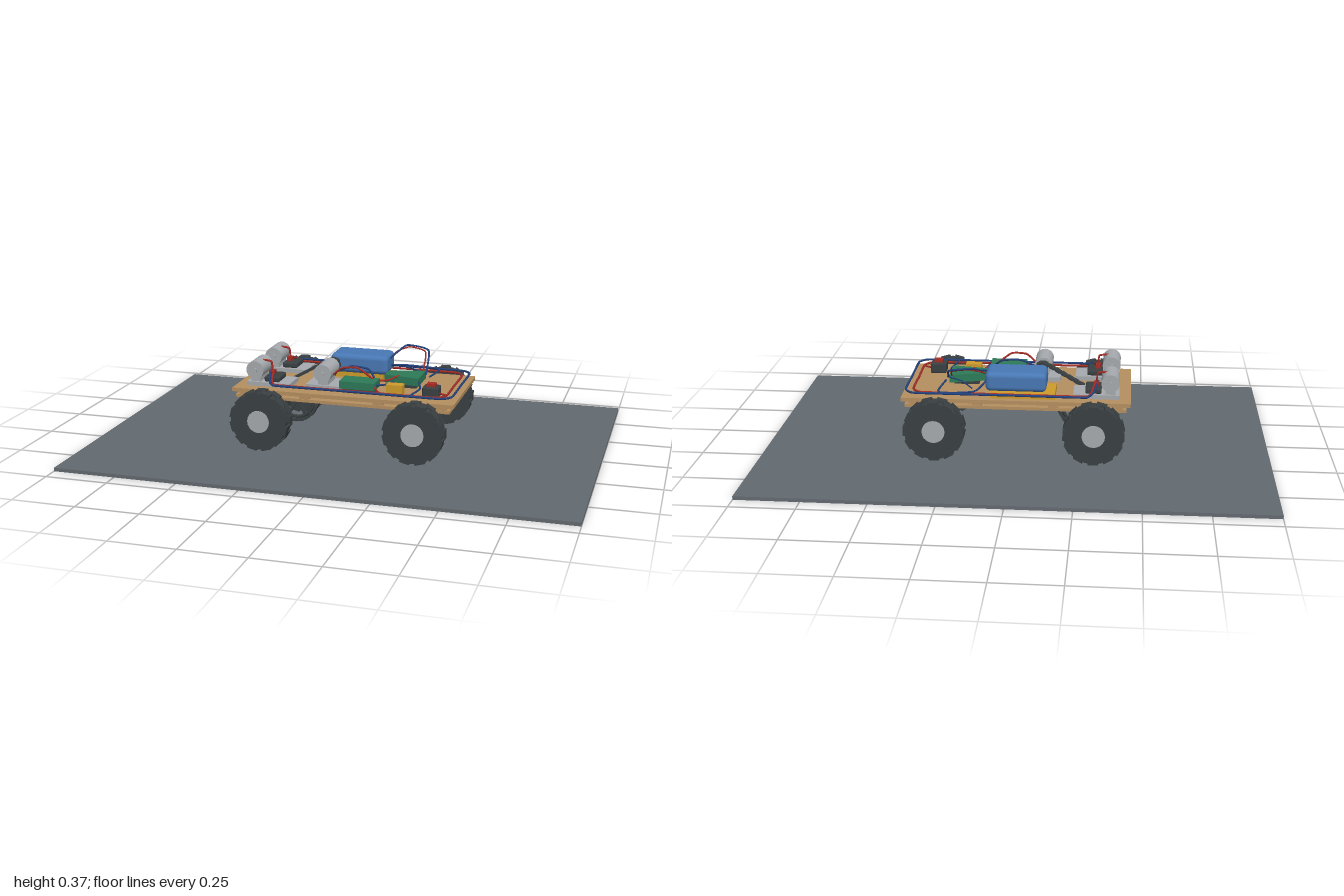
import * as THREE from 'three';
import { RoundedBoxGeometry } from 'three/addons/geometries/RoundedBoxGeometry.js';

const mat = (name, color, flatShading = false) => {
  const m = new THREE.MeshStandardMaterial({ color, flatShading });
  m.name = name;
  return m;
};

export function createModel() {
  const root = new THREE.Group();
  root.name = 'electricRover';
  const M = {
    ground: mat('slate', 0x636a70),
    wood: mat('plywood', 0xb58f60),
    dark: mat('darkRubber', 0x3a4042, true),
    silver: mat('silver', 0xa6aaae),
    blue: mat('batteryBlue', 0x4878b4),
    green: mat('boardGreen', 0x2d7a58),
    red: mat('red', 0xa62c26),
    yellow: mat('amber', 0xcf9c2c),
    navy: mat('wireBlue', 0x24427e),
  };

  const add = (name, geo, m, x = 0, y = 0, z = 0, parent = root) => {
    const mesh = new THREE.Mesh(geo, m);
    mesh.name = name;
    mesh.position.set(x, y, z);
    parent.add(mesh);
    return mesh;
  };
  // Box given by its limits on each axis
  const box = (name, m, x0, x1, y0, y1, z0, z1, parent = root, r = 0) => {
    const s = [x1 - x0, y1 - y0, z1 - z0];
    const g = r ? new RoundedBoxGeometry(...s, 3, r) : new THREE.BoxGeometry(...s);
    return add(name, g, m, (x0 + x1) / 2, (y0 + y1) / 2, (z0 + z1) / 2, parent);
  };
  // Cylinder lying along z
  const rod = (name, m, x, y, z, r, len, sides = 24, parent = root) =>
    add(name, new THREE.CylinderGeometry(r, r, len, sides).rotateX(Math.PI / 2), m, x, y, z, parent);
  const wire = (name, m, pts, r = 0.004, tension = 0.3) => {
    const c = new THREE.CatmullRomCurve3(pts.map(p => new THREE.Vector3(...p)), false, 'catmullrom', tension);
    return add(name, new THREE.TubeGeometry(c, pts.length * 8, r, 6), m);
  };

  // Ground slab
  box('groundSlab', M.ground, -1, 1, 0, 0.014, -0.688, 0.688);

  // Two plywood decks with spacers between
  box('upperDeck', M.wood, -0.45, 0.45, 0.23, 0.245, -0.215, 0.215);
  box('lowerDeck', M.wood, -0.435, 0.435, 0.208, 0.22, -0.215, 0.215);
  for (const x of [-0.4, -0.15, 0.15, 0.4])
    for (const z of [-0.2, 0.2]) box('deckSpacer', M.wood, x - 0.02, x + 0.02, 0.22, 0.23, z - 0.012, z + 0.012);

  // Wheel: tyre with staggered lugs and a metal hub
  const makeWheel = () => {
    const w = new THREE.Group();
    w.name = 'wheel';
    rod('tyre', M.dark, 0, 0, 0, 0.114, 0.068, 24, w);
    for (let i = 0; i < 24; i++) {
      const a = (i / 24) * Math.PI * 2;
      const lug = add('treadLug', new THREE.BoxGeometry(0.02, 0.04, 0.034), M.dark,
        Math.cos(a) * 0.109, Math.sin(a) * 0.109, i % 2 ? 0.0175 : -0.0175, w);
      lug.rotation.z = a;
    }
    rod('hub', M.silver, 0, 0, 0, 0.045, 0.074, 20, w);
    return w;
  };
  for (const x of [-0.31, 0.31]) {
    rod('axle', M.silver, x, 0.14, 0, 0.007, 0.5, 12);
    box('gearbox', M.dark, x - 0.04, x + 0.04, 0.15, 0.2, -0.035, 0.035, root, 0.01);
    for (const s of [-1, 1]) {
      const w = makeWheel();
      w.position.set(x, 0.14, s * 0.269);
      root.add(w);
      box('axleBlock', M.wood, x - 0.06, x + 0.06, 0.13, 0.208, s * 0.19 - 0.024, s * 0.19 + 0.024);
      box('driveHousing', M.dark, x - 0.06, x + 0.06, 0.148, 0.207, s * 0.108 - 0.048, s * 0.108 + 0.048, root, 0.012);
      wire('suspensionStrut', M.silver, [[x, 0.165, s * 0.24], [x, 0.21, s * 0.17]], 0.006);
    }
  }

  // Motors with their mounting plates
  const motor = (x, z, len, plateEnd) => {
    rod('motor', M.silver, x, 0.31, z, 0.036, len, 28);
    rod('motorShaft', M.silver, x, 0.31, z, 0.009, len + 0.016, 12);
    box('motorPlate', M.silver, x - 0.035, plateEnd, 0.245, 0.262, z - len / 2, z + len / 2);
    box('motorFoot', M.silver, x - 0.02, x + 0.02, 0.262, 0.285, z - len / 2 + 0.01, z + len / 2 - 0.01);
  };
  for (const z of [-0.112, 0.11]) {
    motor(-0.37, z, 0.114, -0.225);
    box('controller', M.dark, -0.335, -0.272, 0.262, 0.284, z - 0.045, z + 0.045, root, 0.006);
    box('controllerPlug', M.red, -0.325, -0.305, 0.284, 0.3, z - 0.015, z + 0.015);
    wire('plugLead', M.red, [[-0.315, 0.298, z], [-0.32, 0.335, z], [-0.36, 0.34, z]]);
  }
  motor(-0.095, 0.086, 0.12, -0.02);
  box('motorBase', M.silver, -0.165, -0.12, 0.245, 0.262, 0.03, 0.142);

  // Chain drive through the deck, from motor pinion to lower sprocket
  const big = { x: -0.25, y: 0.15, r: 0.085 }, small = { x: -0.095, y: 0.31, r: 0.024 };
  const dx = small.x - big.x, dy = small.y - big.y;
  const base = Math.atan2(dy, dx), open = Math.acos((big.r - small.r) / Math.hypot(dx, dy));
  const loop = [];
  const arc = (c, a0, a1, n) => {
    for (let i = 0; i <= n; i++) {
      const a = a0 + ((a1 - a0) * i) / n;
      loop.push(new THREE.Vector3(c.x + Math.cos(a) * c.r, c.y + Math.sin(a) * c.r, 0));
    }
  };
  arc(big, base + open, base + 2 * Math.PI - open, 24);
  arc(small, base - open, base + open, 8);
  const path = new THREE.CurvePath();
  loop.forEach((p, i) => path.add(new THREE.LineCurve3(p, loop[(i + 1) % loop.length])));
  for (let i = 0; i < 56; i++) {
    const p = path.getPointAt(i / 56), t = path.getTangentAt(i / 56);
    const link = add('chainLink', new THREE.BoxGeometry(0.017, 0.01, i % 2 ? 0.034 : 0.024), M.dark, p.x, p.y, 0);
    link.rotation.z = Math.atan2(t.y, t.x);
  }
  add('sprocketRim', new THREE.TorusGeometry(0.072, 0.007, 6, 28), M.dark, big.x, big.y, 0);
  for (let i = 0; i < 3; i++)
    add('sprocketSpoke', new THREE.BoxGeometry(0.14, 0.012, 0.01), M.dark, big.x, big.y, 0).rotation.z = (i * Math.PI) / 3;
  rod('pinion', M.dark, small.x, small.y, 0, 0.02, 0.03, 12);
  rod('pinionShaft', M.silver, small.x, small.y, 0.02, 0.008, 0.05, 12);

  // Battery on its amber tray
  box('batteryTray', M.yellow, -0.155, 0.1, 0.245, 0.268, -0.19, -0.06);
  box('battery', M.blue, -0.12, 0.12, 0.266, 0.344, -0.178, -0.045, root, 0.02);

  // Circuit boards, relay and switch
  box('motorBoard', M.green, -0.02, 0.125, 0.262, 0.292, 0.082, 0.168);
  box('boardFeet', M.dark, -0.01, 0.115, 0.245, 0.262, 0.09, 0.16);
  const shape = new THREE.Shape([[0.13, -0.03], [0.275, -0.055], [0.275, 0.07], [0.13, 0.03]].map(p => new THREE.Vector2(...p)));
  add('controlBoard', new THREE.ExtrudeGeometry(shape, { depth: 0.032, bevelEnabled: false }).rotateX(-Math.PI / 2), M.green, 0, 0.262, 0);
  box('controlBoardFeet', M.dark, 0.16, 0.26, 0.245, 0.262, -0.03, 0.03);
  box('relay', M.yellow, 0.165, 0.23, 0.245, 0.285, 0.103, 0.142);
  box('switchBase', M.dark, 0.31, 0.375, 0.245, 0.288, 0.09, 0.15, root, 0.006);
  box('switchButton', M.red, 0.325, 0.36, 0.286, 0.3, 0.105, 0.136);

  // Perimeter wiring loops, from one drive motor around the deck to the other
  const perimeter = (name, m, x, z, y, start) => wire(name, m, [
    [start, 0.3, -0.11], [start + 0.01, 0.28, -0.16], [-0.28, y, -z], [0, y, -z], [x - 0.04, y, -z], [x, y, -z + 0.04],
    [x, y, 0], [x, y, z - 0.04], [x - 0.04, y, z], [0, y, z], [-0.28, y, z], [start + 0.01, 0.28, 0.16], [start, 0.3, 0.11],
  ], 0.0045, 0.15);
  perimeter('blueLoop', M.navy, 0.435, 0.211, 0.266, -0.32);
  perimeter('redLoop', M.red, 0.408, 0.189, 0.262, -0.31);

  // Loose leads between battery, motor and boards
  wire('batteryLeadBlue', M.navy, [[0.11, 0.32, -0.08], [0.14, 0.345, -0.15], [0.17, 0.364, -0.19], [0.26, 0.35, -0.18], [0.28, 0.28, -0.05]]);
  wire('batteryLeadRed', M.red, [[0.11, 0.31, -0.1], [0.13, 0.34, -0.16], [0.18, 0.358, -0.185], [0.25, 0.345, -0.17], [0.268, 0.28, -0.04]], 0.003);
  wire('crossLead', M.navy, [[0.11, 0.3, -0.09], [0.16, 0.275, -0.2], [0.3, 0.268, -0.2], [0.29, 0.27, -0.06]]);
  wire('boardLead', M.navy, [[0.17, 0.275, -0.17], [0.22, 0.285, -0.11], [0.285, 0.285, -0.06]], 0.003);
  wire('motorLeadRed', M.red, [[-0.06, 0.3, 0.11], [-0.02, 0.332, 0.115], [0.04, 0.335, 0.11], [0.1, 0.292, 0.1]]);
  wire('motorLeadBlue', M.navy, [[-0.06, 0.3, 0.06], [0.0, 0.325, 0.055], [0.07, 0.32, 0.06], [0.105, 0.292, 0.09]]);
  wire('linkLeadRed', M.red, [[0.11, 0.285, 0.1], [0.15, 0.28, 0.06], [0.19, 0.294, 0.03]]);
  wire('linkLeadBlue', M.navy, [[0.12, 0.28, 0.15], [0.15, 0.27, 0.09], [0.17, 0.27, 0.04]]);
  wire('boardFeedBlue', M.navy, [[0.275, 0.28, 0.05], [0.29, 0.266, 0.1], [0.27, 0.264, 0.21]]);
  wire('boardFeedRed', M.red, [[0.12, 0.28, 0.16], [0.14, 0.266, 0.18], [0.16, 0.262, 0.19]]);
  wire('switchLead', M.red, [[0.37, 0.262, 0.12], [0.39, 0.26, 0.13], [0.408, 0.262, 0.14]]);

  return root;
}
